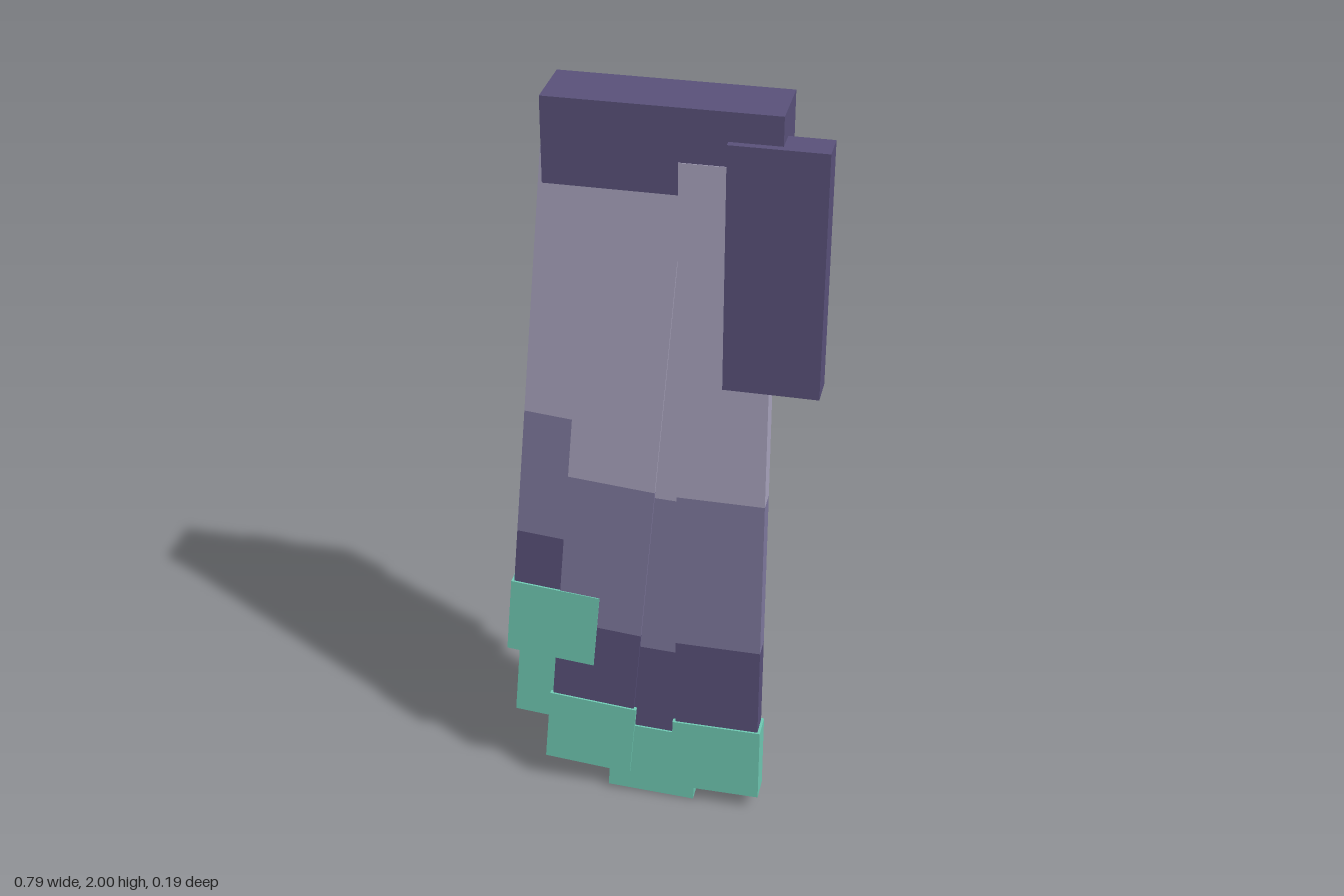
import * as THREE from 'three';

const mat = (name, color) => {
  const m = new THREE.MeshStandardMaterial({ color });
  m.name = name;
  return m;
};

export function createModel() {
  const dark = mat('darkPurple', 0x5a527b);
  const mid = mat('midPurple', 0x807a9f);
  const light = mat('palePurple', 0xaaa5bf);
  const teal = mat('teal', 0x70cab4);
  const model = new THREE.Group();
  model.name = 'wing';

  // Box given by its minimum and maximum on each axis
  function block(name, material, x0, x1, y0, y1, z0, z1, parent = model) {
    const mesh = new THREE.Mesh(new THREE.BoxGeometry(x1 - x0, y1 - y0, z1 - z0), material);
    mesh.position.set((x0 + x1) / 2, (y0 + y1) / 2, (z0 + z1) / 2);
    mesh.name = name;
    parent.add(mesh);
  }

  // Feather hinged at its lower end: bands run upwards as [material, length],
  // the last one filling up to the shoulder
  function feather(name, x, y, degrees, width, z0, z1, bands) {
    const g = new THREE.Group();
    g.name = name;
    g.position.set(x, y, 0);
    g.rotation.z = -THREE.MathUtils.degToRad(degrees);
    const total = (1.87 - y) / Math.cos(g.rotation.z);
    let at = 0;
    bands.forEach(([material, length], i) => {
      const end = i === bands.length - 1 ? total : at + length;
      const tip = material === teal;
      const half = width / 2 + (tip ? 0.007 : 0);
      const pad = tip ? 0.005 : 0;
      block(tip ? 'featherTip' : 'featherBand', material, -half, half, at, end, z0 - pad, z1 + pad, g);
      at = end;
    });
    model.add(g);
  }

  // Shoulder bar, side guard and small studs
  block('shoulderBar', dark, -0.262, 0.288, 1.79, 2, -0.077, 0.078);
  block('sideGuard', dark, 0.165, 0.395, 1.31, 1.93, 0.018, 0.096);
  block('sideStud', teal, 0.24, 0.335, 1.7, 1.81, -0.01, 0.02);
  block('backStud', teal, -0.085, 0.04, 1.86, 1.965, -0.099, -0.07);

  // Long front feathers with teal tips: x, y, angle, z range, tip/dark/mid lengths
  [
    [0.163, 0.05, 0, 0.024, 0.08, 0.22, 0.26, 0.45],
    [-0.015, 0.008, 2.5, 0.018, 0.07, 0.22, 0.265, 0.47],
    [-0.188, 0.08, 4.8, 0.026, 0.078, 0.22, 0.245, 0.45],
    [-0.283, 0.43, 5.1, 0.026, 0.0755, 0.22, 0.16, 0.36],
    [-0.27, 0.22, 5, 0.016, 0.066, 0.22, 0.2, 0.42],
  ].forEach(([x, y, a, z0, z1, tip, d, m], i) =>
    feather(`longFeather${i + 1}`, x, y, a, 0.22, z0, z1, [[teal, tip], [dark, d], [mid, m], [light, 0]]));

  // Middle feathers
  feather('middleFeather1', 0.118, 0.547, 1, 0.22, -0.021, 0.014, [[dark, 0.68], [light, 0]]);
  [
    [-0.06, 0.605, 3, -0.032, 0.01],
    [-0.25, 0.92, 5, -0.037, 0],
    [-0.2, 0.72, 5, -0.025, 0.012],
  ].forEach(([x, y, a, z0, z1], i) =>
    feather(`middleFeather${i + 2}`, x, y, a, 0.21, z0, z1, [[dark, 0]]));

  // Short back feathers
  [
    [0.143, 1.238, 0, -0.081, -0.035, 0.16],
    [0.01, 1.262, 2.5, -0.087, -0.042, 0.15],
    [-0.19, 1.36, 5, -0.0905, -0.05, 0.12],
    [-0.15, 1.29, 4.5, -0.084, -0.04, 0.14],
  ].forEach(([x, y, a, z0, z1, m], i) =>
    feather(`shortFeather${i + 1}`, x, y, a, 0.22, z0, z1, [[mid, m], [light, 0]]));

  return model;
}
